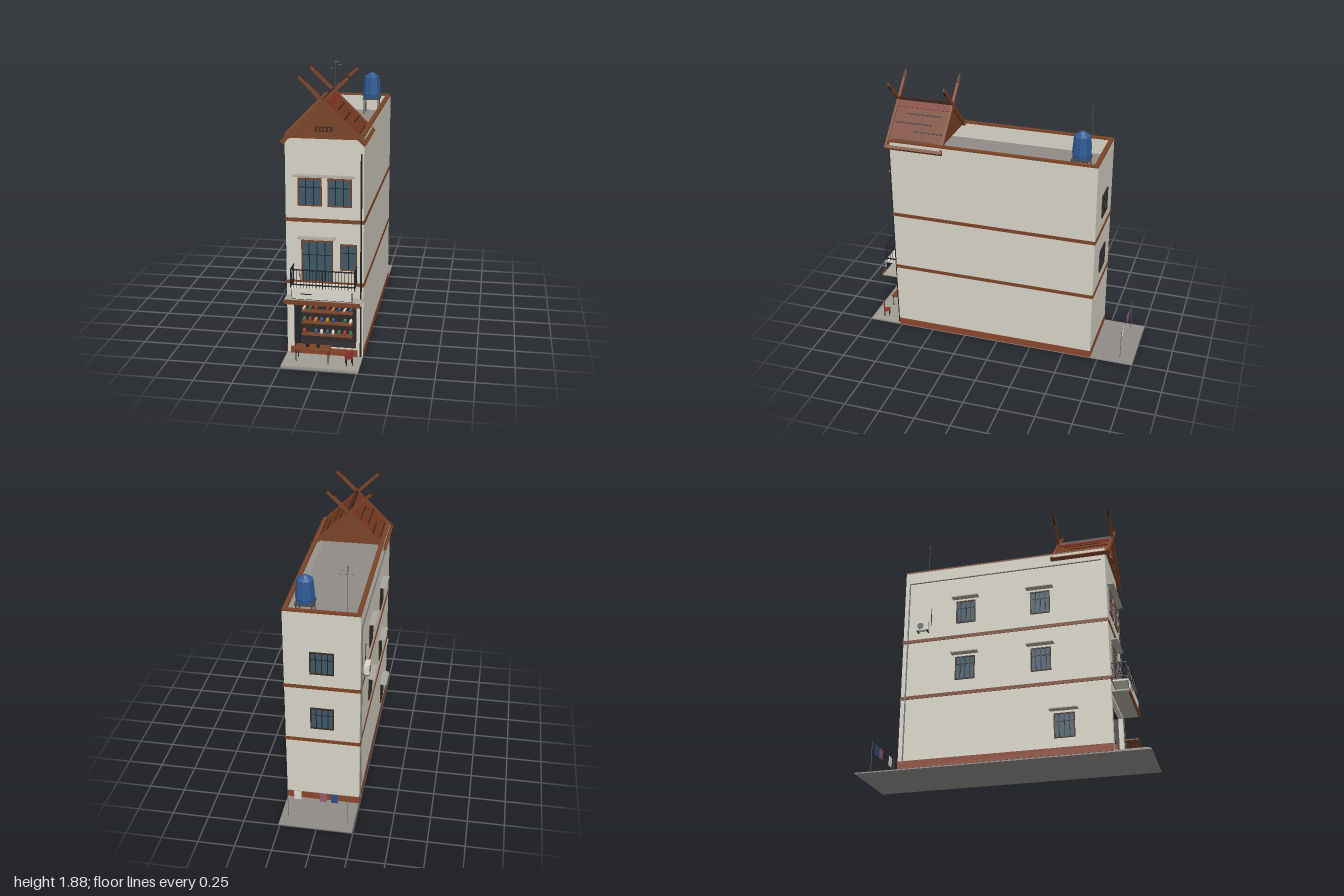
import * as THREE from 'three';

const C = { wall: 0xd6d2c5, wood: 0x7a4327, dark: 0x3c2618, base: 0x8a452d, roof: 0x74381f, red: 0x7a2f24,
  iron: 0x22242a, glass: 0x3d5868, deck: 0x8f8c88, shop: 0x2f2a2a, white: 0xd8d8d0, tank: 0x2f5a92 };
const mats = {};
const mat = (c) => (mats[c] ??= new THREE.MeshStandardMaterial({ color: c, flatShading: true }));

export function createModel() {
  const root = new THREE.Group();
  const CX = 0.0075, L = -0.245, R = 0.26, BACK = -0.695, FRONT = 0.765;

  const add = (name, geo, color, parent = root) => {
    const m = new THREE.Mesh(geo, mat(color));
    m.name = name;
    parent.add(m);
    return m;
  };
  // box given by its limits
  const box = (name, color, x0, x1, y0, y1, z0, z1, parent = root) => {
    const m = add(name, new THREE.BoxGeometry(x1 - x0, y1 - y0, z1 - z0), color, parent);
    m.position.set((x0 + x1) / 2, (y0 + y1) / 2, (z0 + z1) / 2);
    return m;
  };
  // thin round bar between two points
  const bar = (name, color, a, b, r = 0.003, parent = root) => {
    const p = new THREE.Vector3(...a), q = new THREE.Vector3(...b);
    const m = add(name, new THREE.CylinderGeometry(r, r, p.distanceTo(q), 6), color, parent);
    m.position.copy(p).lerp(q, 0.5);
    m.quaternion.setFromUnitVectors(new THREE.Vector3(0, 1, 0), q.sub(p).normalize());
    return m;
  };
  const group = (name, x = 0, y = 0, z = 0, ry = 0, parent = root) => {
    const g = new THREE.Group();
    g.name = name;
    g.position.set(x, y, z);
    g.rotation.y = ry;
    parent.add(g);
    return g;
  };

  // ground and pavement
  box('ground', C.deck, L, R, 0, 0.008, -1, 1);
  box('pavement', 0xa09d94, L, R, 0.008, 0.014, FRONT, 0.985);

  // walls, front wall with the shop opening, roof deck
  const W = 0.03;
  for (const [x0, x1] of [[L, L + W], [R - W, R]]) box('sideWall', C.wall, x0, x1, 0.008, 1.49, BACK, FRONT);
  box('backWall', C.wall, L + W, R - W, 0.008, 1.49, BACK, BACK + W);
  const face = new THREE.Shape([[L + W, 0.008], [R - W, 0.008], [R - W, 1.49], [L + W, 1.49]].map((p) => new THREE.Vector2(...p)));
  face.holes.push(new THREE.Path([[-0.2, 0.05], [-0.2, 0.39], [0.215, 0.39], [0.215, 0.05]].map((p) => new THREE.Vector2(...p))));
  const frontWall = add('frontWall', new THREE.ExtrudeGeometry(face, { depth: W, bevelEnabled: false }), C.wall);
  frontWall.position.z = FRONT - W;
  box('roofDeck', C.deck, L + W, R - W, 1.36, 1.38, BACK + W, FRONT - W);

  // floor bands, plinth and parapet cap
  for (const y of [0.5, 0.925]) {
    box('sideBand', C.wood, R, R + 0.005, y, y + 0.024, BACK, FRONT + 0.005);
    box('sideBand', C.wood, L - 0.005, L, y, y + 0.024, BACK, FRONT + 0.005);
    box('frontBand', C.wood, L, R, y, y + 0.024, FRONT, FRONT + 0.005);
    box('backBand', C.wood, L - 0.005, R + 0.005, y, y + 0.024, BACK - 0.005, BACK);
  }
  for (const [x0, x1] of [[L - 0.003, L], [R, R + 0.003]]) box('sidePlinth', C.base, x0, x1, 0.008, 0.06, BACK, FRONT);
  box('backPlinth', C.base, L, R, 0.008, 0.06, BACK - 0.003, BACK);
  box('shopStep', C.base, -0.22, 0.225, 0.014, 0.055, FRONT, FRONT + 0.02);
  for (const [x0, x1] of [[L, L + W], [R - W, R]]) box('parapetCap', C.wood, x0, x1, 1.49, 1.502, BACK, FRONT);
  for (const z of [BACK, FRONT - W]) box('parapetCap', C.wood, L + W, R - W, 1.49, 1.502, z, z + W);

  // shop interior, shelves and goods
  const shop = group('shop');
  box('shopBack', C.shop, -0.21, 0.225, 0.03, 0.41, 0.63, 0.64, shop);
  for (const x of [-0.21, 0.215]) box('shopSide', C.shop, x, x + 0.01, 0.03, 0.41, 0.64, 0.735, shop);
  for (const y of [0.04, 0.39]) box('shopFloorOrCeiling', C.shop, -0.2, 0.215, y, y + 0.01, 0.64, 0.735, shop);
  box('shutterGuide', C.iron, -0.2, -0.16, 0.05, 0.39, 0.745, 0.755, shop);
  const goods = [0xb03a2a, 0xe0ddd0, 0xd0892a, 0x3f7a4a, 0x34589a];
  [0.12, 0.205, 0.285].forEach((y, row) => {
    box('shelf', C.wood, -0.16, 0.18, y - 0.006, y, 0.67, 0.72, shop);
    for (let i = 0; i < 9; i++) {
      if ((i * 3 + row) % 8 === 3) continue;
      const s = add('shopItem', new THREE.SphereGeometry(0.02, 8, 6), goods[(i * 2 + row * 3 + (i >> 2)) % 5], shop);
      s.scale.set(row === 2 ? 0.4 : 0.55, 1, 0.5);
      s.rotation.z = -0.25 * (row + 0.3);
      s.position.set(-0.145 + i * 0.039, y + 0.02, 0.7);
    }
  });

  // canopy with sign board
  box('canopy', 0xaaa79e, L, R, 0.41, 0.42, FRONT, 0.88);
  box('canopyEdge', C.wood, -0.24, 0.255, 0.4, 0.428, 0.875, 0.886);
  box('signBoard', C.white, -0.185, 0.2, 0.44, 0.5, 0.874, 0.882);
  box('signFrame', C.iron, -0.19, 0.205, 0.434, 0.506, 0.868, 0.874);
  box('signStripe', C.iron, -0.13, -0.06, 0.472, 0.478, 0.882, 0.884);

  // balcony
  const balcony = group('balcony');
  box('balconySlab', C.wall, -0.2, 0.22, 0.5, 0.512, FRONT, 0.875, balcony);
  for (const y of [0.53, 0.63]) {
    box('frontRail', C.iron, -0.2, 0.22, y, y + 0.007, 0.866, 0.873, balcony);
    for (const x of [-0.2, 0.213]) box('sideRail', C.iron, x, x + 0.007, y, y + 0.007, FRONT, 0.866, balcony);
  }
  for (let i = 0; i <= 20; i++) {
    const x = -0.197 + i * 0.0207;
    bar('baluster', C.iron, [x, 0.512, 0.87], [x, 0.63, 0.87], i % 10 ? 0.0018 : 0.004, balcony);
  }
  for (const x of [-0.197, 0.217]) for (let i = 0; i < 5; i++)
    bar('baluster', C.iron, [x, 0.512, 0.77 + i * 0.021], [x, 0.63, 0.77 + i * 0.021], 0.0018, balcony);

  // window facing local +z, with frame, upright bars and optional awning
  const windowUnit = (name, x, y, z, ry, w, h, bars, awning = 0, frame = C.wood) => {
    const g = group(name, x, y, z, ry), a = w / 2, b = h / 2, t = 0.008;
    box('glass', C.glass, -a, a, -b, b, 0, 0.003, g);
    for (const s of [-1, 1]) {
      box('frameSide', frame, s * (a - t / 2) - t / 2, s * (a - t / 2) + t / 2, -b, b, 0, 0.009, g);
      box('frameRail', frame, -a + t, a - t, s * (b - t / 2) - t / 2, s * (b - t / 2) + t / 2, 0, 0.009, g);
    }
    for (let i = 1; i <= bars; i++) {
      const bx = -a + (w * i) / (bars + 1);
      box('windowBar', C.iron, bx - 0.003, bx + 0.003, -b + t, b - t, 0.003, 0.007, g);
    }
    box('crossBar', C.iron, -a + t, a - t, b * 0.3, b * 0.3 + 0.005, 0.003, 0.006, g);
    if (awning) box('awning', 0xa9a69c, -awning / 2, awning / 2, b + 0.018, b + 0.025, 0, 0.048, g);
  };
  windowUnit('upperWindow', -0.087, 1.125, FRONT, 0, 0.155, 0.185, 2);
  windowUnit('upperWindow', 0.105, 1.125, FRONT, 0, 0.155, 0.185, 2);
  box('upperAwning', 0xa9a69c, -0.19, 0.2, 1.232, 1.239, FRONT, 0.81);
  windowUnit('balconyDoor', -0.042, 0.66, FRONT, 0, 0.205, 0.285, 3, 0.245);
  windowUnit('balconyWindow', 0.163, 0.697, FRONT, 0, 0.107, 0.178, 1);
  for (const y of [0.695, 1.125]) {
    windowUnit('backWindow', CX, y, BACK, Math.PI, 0.16, 0.165, 3, 0, C.dark);
    for (const z of [-0.235, 0.3]) windowUnit('sideWindow', L, y, z, -Math.PI / 2, 0.14, 0.17, 3, 0.19, C.dark);
  }
  windowUnit('sideWindow', L, 0.21, 0.45, -Math.PI / 2, 0.14, 0.17, 3, 0.19, C.dark);

  // air conditioner, drain pipes
  const ac = group('airConditioner', L, 1.035, -0.545, -Math.PI / 2);
  box('acCase', C.white, -0.045, 0.045, -0.032, 0.032, 0.008, 0.042, ac);
  const fan = add('acFan', new THREE.CylinderGeometry(0.023, 0.023, 0.004, 16), 0x6a6c6c, ac);
  fan.rotation.x = Math.PI / 2;
  fan.position.set(-0.012, 0, 0.043);
  for (const x of [-0.035, 0.035]) box('acBracket', C.iron, x - 0.003, x + 0.003, -0.04, -0.032, 0, 0.042, ac);
  bar('acPipe', C.iron, [L - 0.004, 1.05, -0.49], [L - 0.004, 1.18, -0.49]);
  bar('frontDownpipe', C.iron, [0.245, 0.014, 0.773], [0.245, 1.385, 0.773], 0.006);
  bar('sideDownpipe', 0x77756f, [L - 0.005, 0.03, -0.66], [L - 0.005, 1.4, -0.66], 0.005);
  bar('sideGutter', 0x77756f, [L - 0.005, 1.4, -0.66], [L - 0.005, 1.4, 0.74], 0.005);

  // gabled roof: sloping panels, batten strips, crossed gable boards
  const roof = group('gableRoof', CX, 0, 0);
  const slope = Math.atan2(0.265, 0.27), len = 0.378;
  for (const s of [-1, 1]) {
    const side = group('roofSlope', 0, 1.715, 0, 0, roof);
    side.rotation.z = -s * slope;
    const strip = (name, color, d0, d1, y0, y1, z0, z1) =>
      box(name, color, Math.min(s * d0, s * d1), Math.max(s * d0, s * d1), y0, y1, z0, z1, side);
    strip('roofPanel', C.roof, 0, len, -0.014, 0, 0.395, 0.785);
    strip('ridgeTiles', C.red, 0, 0.06, 0, 0.004, 0.4, 0.78);
    [[0.1, 0.45, 0.7], [0.17, 0.5, 0.77], [0.23, 0.41, 0.62], [0.3, 0.47, 0.74]].forEach(([d, z0, z1]) =>
      strip('batten', C.dark, d, d + 0.01, 0, 0.003, z0, z1));
    strip('eaveBoard', C.wood, len - 0.02, len, -0.02, 0.005, 0.395, 0.785);
    for (const z of [0.382, 0.78]) {
      strip('gableBoard', C.wood, -0.01, len, -0.018, 0.008, z, z + 0.018);
      strip('gableHorn', C.wood, -0.215, -0.01, -0.012, 0.008, z, z + 0.018);
      strip('hornTip', C.dark, -0.225, -0.16, -0.016, 0.012, z + 0.003, z + 0.015);
    }
  }
  box('ridgeBeam', C.dark, -0.01, 0.01, 1.705, 1.728, 0.39, 0.79, roof);
  const tri = new THREE.Shape([[-0.235, 1.475], [0.235, 1.475], [0, 1.705]].map((p) => new THREE.Vector2(...p)));
  for (const z of [0.405, 0.76]) {
    const g = add('gableWall', new THREE.ExtrudeGeometry(tri, { depth: 0.014, bevelEnabled: false }), C.wood, roof);
    g.position.z = z;
  }
  box('gableFascia', C.wood, L - CX, R - CX, 1.475, 1.495, FRONT, 0.782, roof);
  box('ventFrame', C.dark, -0.055, 0.055, 1.52, 1.552, 0.774, 0.78, roof);
  for (let i = 0; i < 4; i++) box('ventSlat', C.wood, -0.042 + i * 0.023, -0.03 + i * 0.023, 1.526, 1.546, 0.78, 0.783, roof);

  // water tank on its stand
  const tank = group('waterTank', 0.135, 0, -0.555);
  const body = [[0, 1.5], [0.062, 1.5], [0.066, 1.53], [0.056, 1.655], [0.03, 1.672], [0.015, 1.684], [0, 1.684]];
  add('tankBody', new THREE.LatheGeometry(body.map((p) => new THREE.Vector2(...p)), 8), C.tank, tank);
  box('tankPlatform', 0x4a4a4a, -0.062, 0.062, 1.488, 1.5, -0.06, 0.06, tank);
  for (const x of [-0.052, 0.052]) for (const z of [-0.05, 0.05]) bar('tankLeg', 0x4a4a4a, [x, 1.38, z], [x, 1.49, z], 0.005, tank);

  // antenna
  bar('antennaMast', 0x555555, [-0.14, 1.38, -0.56], [-0.14, 1.77, -0.56], 0.002);
  [1.71, 1.735, 1.76].forEach((y, i) =>
    bar('antennaRod', 0x555555, [-0.175 + i * 0.012, y, -0.56], [-0.075 - i * 0.02, y, -0.56], 0.0015));

  // table and chair on the pavement
  const table = group('table');
  box('tableTop', C.wood, -0.17, 0.06, 0.096, 0.104, 0.825, 0.915, table);
  for (const x of [-0.16, 0.05]) for (const z of [0.835, 0.905]) bar('tableLeg', C.iron, [x, 0.014, z], [x, 0.096, z], 0.003, table);
  for (const x of [-0.09, -0.02]) {
    const pot = add('bowl', new THREE.CylinderGeometry(0.014, 0.009, 0.02, 8), C.iron, table);
    pot.position.set(x, 0.114, 0.87);
  }
  const chair = group('chair', 0.187, 0, 0.9, 0.35);
  box('chairSeat', 0x8c2f2c, -0.024, 0.024, 0.058, 0.066, -0.022, 0.022, chair);
  box('chairBack', 0x8c2f2c, -0.024, 0.024, 0.066, 0.115, 0.016, 0.022, chair);
  for (const x of [-0.02, 0.02]) for (const z of [-0.018, 0.018]) bar('chairLeg', C.iron, [x, 0.014, z], [x, 0.06, z], 0.003, chair);

  // washing line behind the house
  const line = group('washingLine', 0, 0, -0.905);
  for (const x of [-0.2, 0.21]) bar('linePost', 0x666666, [x, 0.008, 0], [x, 0.24, 0], 0.002, line);
  bar('line', 0x666666, [-0.2, 0.235, 0], [0.21, 0.235, 0], 0.001, line);
  [[-0.11, 0x2f4a86], [-0.035, 0x96586a], [0.14, C.white]].forEach(([x, c]) =>
    box('cloth', c, x - 0.025, x + 0.025, 0.165, 0.235, -0.002, 0.002, line));

  return root;
}
